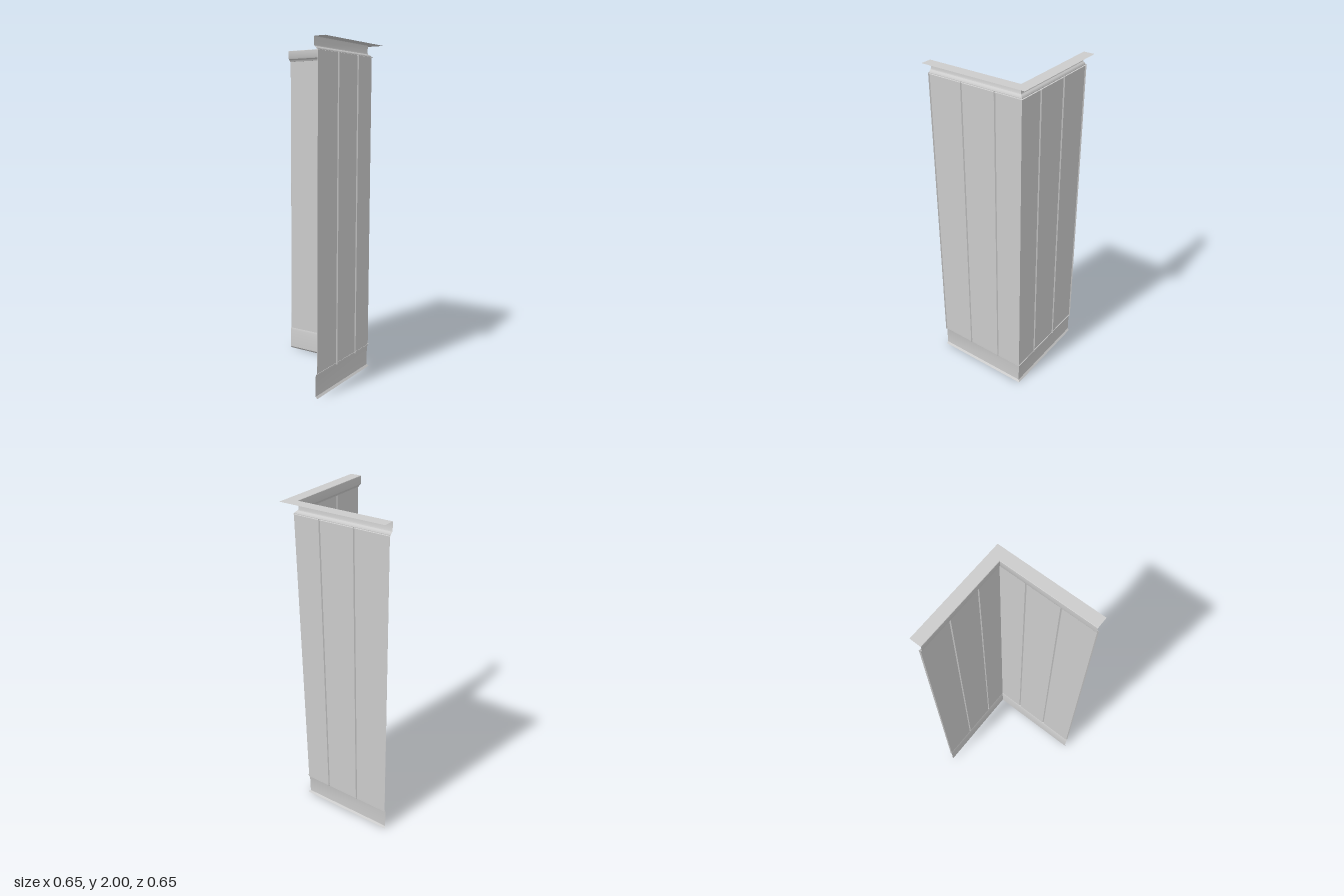
import * as THREE from 'three';
import { toCreasedNormals } from 'three/addons/utils/BufferGeometryUtils.js';

const END = 0.325;   // free end of each wall arm
const FACE = 0.274;  // panel face, measured from the centre towards the corner
const GROOVE = 0.28; // bottom of the grooves

// Skin between consecutive rows of [x, y, z] points, rows running top to bottom.
function loft(rows) {
  const pos = [];
  for (let i = 0; i < rows.length - 1; i++) {
    for (let j = 0; j < rows[i].length - 1; j++) {
      const a = rows[i][j], b = rows[i][j + 1];
      const d = rows[i + 1][j], c = rows[i + 1][j + 1];
      pos.push(...a, ...d, ...c, ...a, ...c, ...b);
    }
  }
  const geo = new THREE.BufferGeometry();
  geo.setAttribute('position', new THREE.Float32BufferAttribute(pos, 3));
  return toCreasedNormals(geo, 0.5);
}

// Moulding profile of [depth, y] points, mitred around the inside corner.
function moulding(profile) {
  return loft(profile.map(([d, y]) => [[-END, y, -d], [d, y, -d], [d, y, END]]));
}

// Plan line of one arm: [distance along the wall, depth], with V grooves.
function armPlan() {
  const w = 0.005;
  const plan = [[-END, GROOVE], [-END + w, FACE]];
  for (const g of [-0.108, 0.108]) plan.push([g - w, FACE], [g, GROOVE], [g + w, FACE]);
  return plan;
}

export function createModel() {
  const group = new THREE.Group();
  const material = new THREE.MeshStandardMaterial({ color: 0xcccccc, side: THREE.DoubleSide });
  const add = (name, geo) => {
    const mesh = new THREE.Mesh(geo, material);
    mesh.name = name;
    group.add(mesh);
  };

  // Grooved panels: back arm, corner, then the same arm mirrored along the side
  const arm = armPlan();
  const plan = [
    ...arm.map(([s, d]) => [s, -d]),
    [FACE, -FACE],
    ...arm.map(([s, d]) => [d, -s]).reverse(),
  ];
  add('wallPanels', loft([1.935, 0.135].map((y) => plan.map(([x, z]) => [x, y, z]))));

  // Top rail: flat cap, upright face and a small cove back to the panels
  add('topRail', moulding([
    [0.325, 2], [0.258, 2], [0.256, 1.998], [0.256, 1.955],
    [0.259, 1.948], [0.266, 1.943], [0.271, 1.938], [0.273, 1.932], [0.28, 1.93],
  ]));

  // Baseboard: sloped lip on top, plain face, undercut foot
  add('baseboard', moulding([
    [0.28, 0.148], [0.274, 0.145], [0.27, 0.132], [0.27, 0.012], [0.28, 0],
  ]));

  return group;
}
